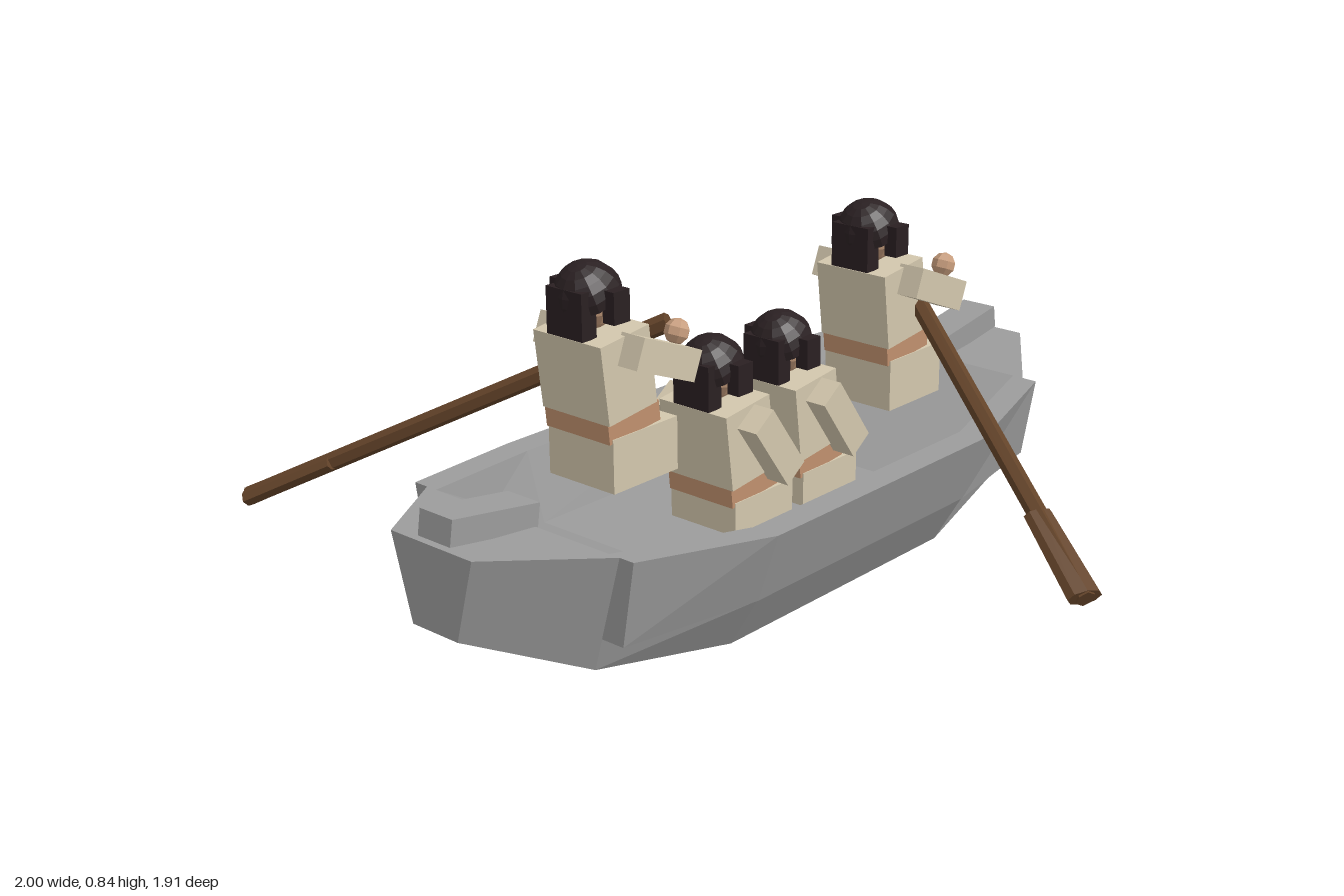
import * as THREE from 'three';

const mat = (name, color, extra = {}) => {
  const m = new THREE.MeshStandardMaterial({ color, flatShading: true, ...extra });
  m.name = name;
  return m;
};

export function createModel() {
  const M = {
    hull: mat('hull grey', 0x9c9c9c),
    cloth: mat('cream cloth', 0xd3c7ad),
    skin: mat('skin', 0xc69c7c),
    belt: mat('belt tan', 0xc0906e),
    hair: mat('dark hair', 0x2a2022, { side: THREE.DoubleSide }),
    wood: mat('oar wood', 0x634329),
  };
  const root = new THREE.Group();
  root.name = 'rowingBoat';

  const add = (parent, name, geo, material, pos = [0, 0, 0], rotZ = 0) => {
    const m = new THREE.Mesh(geo, material);
    m.name = name;
    m.position.set(...pos);
    m.rotation.z = rotZ;
    parent.add(m);
    return m;
  };
  const box = (x, y, z) => new THREE.BoxGeometry(x, y, z);

  // Skin four-cornered sections, ordered along +x; corners run anticlockwise seen from +x
  const loft = (sections) => {
    const pos = [];
    const quad = (a, b, c, d) => [a, b, c, a, c, d].forEach((p) => pos.push(...p));
    for (let i = 0; i < sections.length - 1; i++) {
      const s = sections[i], t = sections[i + 1];
      for (let k = 0; k < 4; k++) {
        const n = (k + 1) % 4;
        quad(s[k], t[k], t[n], s[n]);
      }
    }
    const first = sections[0], last = sections[sections.length - 1];
    quad(first[0], first[1], first[2], first[3]);
    quad(last[3], last[2], last[1], last[0]);
    const g = new THREE.BufferGeometry();
    g.setAttribute('position', new THREE.Float32BufferAttribute(pos, 3));
    g.computeVertexNormals();
    return g;
  };

  // Hull: x, bottom y, bottom half width, top y, top half width; the middle is a sunken floor
  const half = [[1, 0.16, 0.07, 0.36, 0.125], [0.75, 0.05, 0.22, 0.335, 0.3], [0.39, 0, 0.29, 0.13, 0.368]];
  const stations = [...half.map(([x, ...r]) => [-x, ...r]), ...half.slice().reverse()];
  add(root, 'hull', loft(stations.map(([x, yb, wb, yt, wt]) =>
    [[x, yb, -wb], [x, yb, wb], [x, yt, wt], [x, yt, -wt]])), M.hull);

  // Side planks: x, bottom inner/outer z, top y, top inner/outer z
  const plankHalf = [[0.75, 0.235, 0.305, 0.335, 0.27, 0.34], [0.39, 0.305, 0.37, 0.302, 0.355, 0.427]];
  const plank = [...plankHalf.map(([x, ...r]) => [-x, ...r]), ...plankHalf.slice().reverse()];
  for (const side of [1, -1]) {
    const sections = plank.map(([x, bi, bo, yt, ti, to]) => {
      const c = [[x, 0.13, bi * side], [x, 0.13, bo * side], [x, yt, to * side], [x, yt, ti * side]];
      return side > 0 ? c : c.reverse();
    });
    add(root, side > 0 ? 'frontPlank' : 'backPlank', loft(sections), M.hull);
  }

  // Tilted blocks on both ends
  for (const s of [1, -1]) {
    add(root, 'endBlock', box(0.25, 0.06, 0.1), M.hull, [0.862 * s, 0.376, 0], 0.155 * s);
  }

  // One person facing +x; y positions are those of a rower
  const person = (name, x, y, z, rowing) => {
    const p = new THREE.Group();
    p.name = name;
    p.position.set(x, y, z);
    root.add(p);
    add(p, 'legs', box(0.21, 0.13, 0.205), M.cloth, [0.07, 0.388, 0]);
    add(p, 'belt', box(0.165, 0.05, 0.2), M.belt, [0.037, 0.475, 0], 0.1);
    add(p, 'torso', box(0.155, 0.19, 0.21), M.cloth, [0.018, 0.592, 0], 0.12);

    // Head and hair
    add(p, 'head', new THREE.SphereGeometry(0.073, 10, 8), M.skin, [0.003, 0.758, 0]);
    add(p, 'hairCap', new THREE.SphereGeometry(0.08, 12, 6, 0, Math.PI * 2, 0, Math.PI * 0.53),
      M.hair, [0, 0.763, 0], 0.4);
    add(p, 'backHair', box(0.045, 0.11, 0.11), M.hair, [-0.053, 0.735, 0]);
    for (const s of [1, -1]) {
      add(p, 'sideHair', box(0.05, 0.075, 0.035), M.hair, [0.005, 0.752, 0.082 * s]);

      // Arms and hands: stretched out for rowing, lowered for passengers
      const angle = rowing ? -0.38 : -0.95;
      const arm = new THREE.Group();
      arm.name = 'arm';
      arm.position.set(0.005, 0.655, 0.128 * s);
      arm.rotation.z = angle;
      p.add(arm);
      add(arm, 'sleeve', box(0.2, 0.075, 0.07), M.cloth, [0.09, 0, 0]);
      add(arm, 'hand', new THREE.SphereGeometry(0.031, 7, 5), M.skin,
        rowing ? [0.16, 0.065, -0.025 * s] : [0.185, 0.04, -0.025 * s]);
    }
  };
  person('leftRower', 0.385, 0, 0.067, true);
  person('rightRower', -0.455, 0, -0.07, true);
  person('leftPassenger', 0.13, -0.238, 0, false);
  person('rightPassenger', -0.122, -0.238, 0, false);

  // Oars: hexagonal shaft with a wider blade at the far end
  const oar = (name, from, to) => {
    const a = new THREE.Vector3(...from), b = new THREE.Vector3(...to);
    const length = a.distanceTo(b);
    const g = new THREE.Group();
    g.name = name;
    g.position.copy(a);
    g.lookAt(b);
    root.add(g);
    const shaft = new THREE.CylinderGeometry(0.023, 0.023, length, 6).rotateX(Math.PI / 2);
    add(g, 'shaft', shaft, M.wood, [0, 0, length / 2]);
    const blade = new THREE.CylinderGeometry(0.043, 0.036, 0.25, 8).rotateX(Math.PI / 2).scale(1, 0.55, 1);
    add(g, 'blade', blade, M.wood, [0, 0, length - 0.13]);
  };
  oar('frontOar', [0.565, 0.67, -0.01], [0.05, 0.15, 0.935]);
  oar('backOar', [-0.27, 0.67, 0.0], [-0.78, 0.15, -0.94]);

  return root;
}
